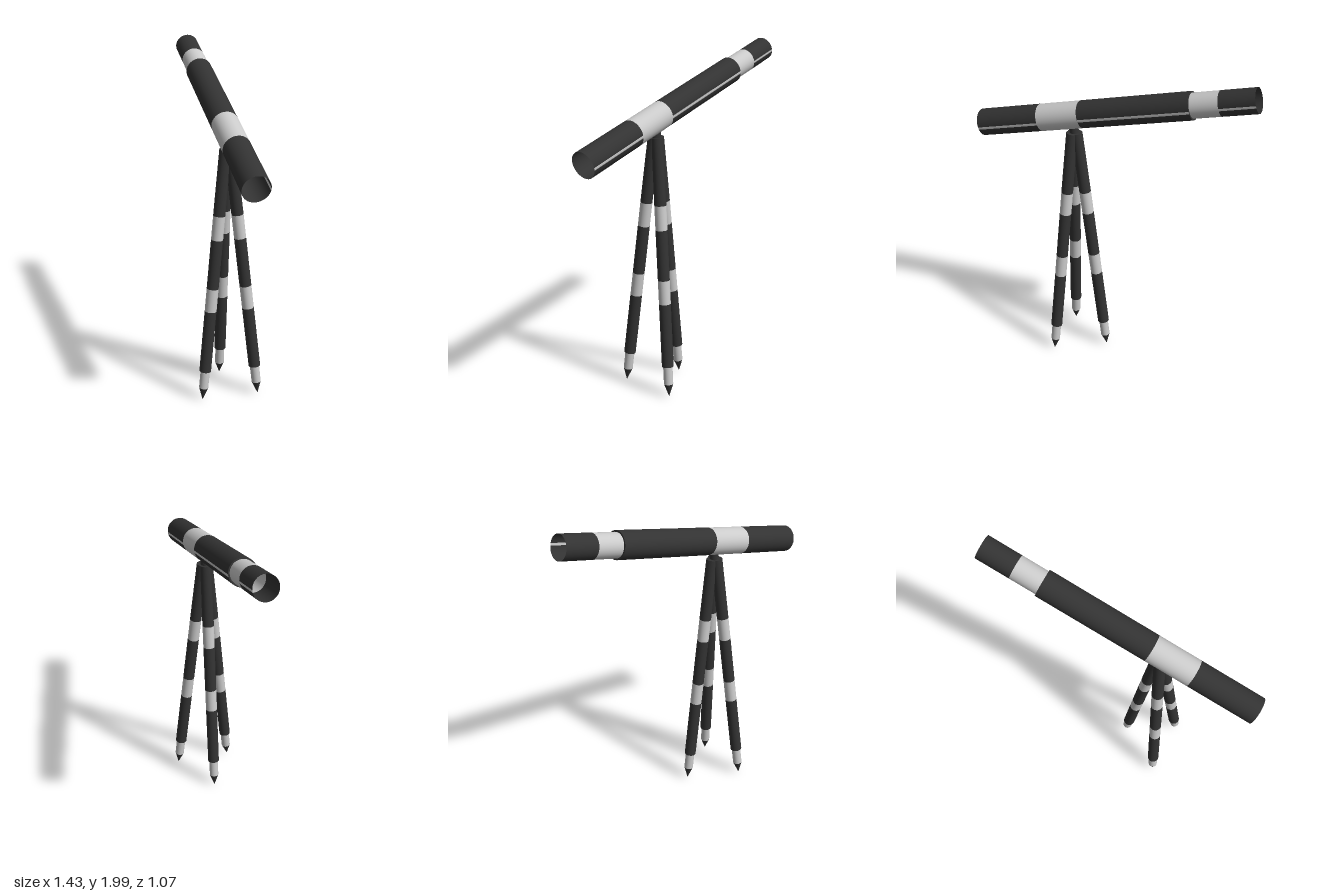
import * as THREE from 'three';

const dark = new THREE.MeshStandardMaterial({ color: 0x333333, side: THREE.DoubleSide });
const light = new THREE.MeshStandardMaterial({ color: 0xcccccc, side: THREE.DoubleSide });
const SEG = 32;
const STEP = (Math.PI * 2) / SEG;

function add(parent, name, geometry, material) {
  const mesh = new THREE.Mesh(geometry, material);
  mesh.name = name;
  parent.add(mesh);
  return mesh;
}

// Open cylinder wall between two heights, over part of the turn
function wall(y0, y1, r0, r1, segs = SEG, start = 0) {
  return new THREE.CylinderGeometry(r1, r0, y1 - y0, segs, 1, true, start, segs * STEP)
    .translate(0, (y0 + y1) / 2, 0);
}

// Flat ring or disc closing a step in diameter
function ring(y, inner, outer) {
  return new THREE.RingGeometry(inner, outer, SEG).rotateX(-Math.PI / 2).translate(0, y, 0);
}

// Telescope: hollow tube running along local +y from eyepiece to objective
function makeTelescope(from, to) {
  const group = new THREE.Group();
  group.name = 'telescope';
  const axis = to.clone().sub(from);
  const length = axis.length();
  axis.normalize();
  const side = new THREE.Vector3(axis.z, 0, -axis.x).normalize();
  group.quaternion.setFromRotationMatrix(
    new THREE.Matrix4().makeBasis(side, axis, side.clone().cross(axis)));
  group.position.copy(from);

  const narrow = 0.07, wide = 0.079;
  const sections = [
    ['eyepieceTube', 0, 0.12, narrow, dark],
    ['eyepieceBand', 0.12, 0.215, narrow, light],
    ['mainTube', 0.215, 0.61, wide, dark],
    ['mountBand', 0.61, 0.765, wide, light],
    ['objectiveTube', 0.765, 1, wide, dark],
  ];
  for (const [name, a, b, r, material] of sections) {
    // each section is a wall with a narrow light seam along one side
    add(group, name, wall(a * length, b * length, r, r, SEG - 1, Math.PI / 2), material);
    add(group, name + 'Seam', wall(a * length, b * length, r, r, 1, Math.PI / 2 - STEP), light);
  }
  add(group, 'tubeStep', ring(0.215 * length, narrow, wide), dark);
  return group;
}

// Tripod leg: banded pole with a slimmer foot section and pointed tip
function makeLeg(foot, top) {
  const leg = new THREE.Group();
  leg.name = 'tripodLeg';
  const axis = top.clone().sub(foot);
  const length = axis.length();
  leg.position.copy(foot);
  leg.quaternion.setFromUnitVectors(new THREE.Vector3(0, 1, 0), axis.normalize());

  const pole = 0.035, slim = 0.028;
  const sections = [
    ['footTip', 0, 0.08, 0, slim, dark],
    ['footSection', 0.08, 0.19, slim, slim, light],
    ['lowerPole', 0.19, 0.575, pole, pole, dark],
    ['lowerBand', 0.575, 0.717, pole, pole, light],
    ['middlePole', 0.717, 1.015, pole, pole, dark],
    ['upperBand', 1.015, 1.158, pole, pole, light],
    ['upperPole', 1.158, length, pole, pole * 0.95, dark],
  ];
  for (const [name, a, b, r0, r1, material] of sections) {
    add(leg, name, wall(a, b, r0, r1), material);
  }
  add(leg, 'poleStep', ring(0.19, slim, pole), dark);
  add(leg, 'poleCap', ring(length, 0, pole * 0.95), dark);
  return leg;
}

export function createModel() {
  const model = new THREE.Group();
  model.name = 'telescopeOnTripod';

  model.add(makeTelescope(
    new THREE.Vector3(-0.673, 1.932, -0.476),
    new THREE.Vector3(0.665, 1.494, 0.466)));

  // Three legs spread evenly around the pivot
  const px = 0.186, pz = 0.129;
  for (let i = 0; i < 3; i++) {
    const angle = THREE.MathUtils.degToRad(96 + i * 120);
    const at = (r, y) => new THREE.Vector3(px + r * Math.cos(angle), y, pz + r * Math.sin(angle));
    model.add(makeLeg(at(0.198, 0.005), at(0.016, 1.54)));
  }

  // Short post joining the tripod to the tube
  add(model, 'mountPost',
    new THREE.CylinderGeometry(0.026, 0.026, 0.1, SEG).translate(px, 1.54, pz), dark);

  return model;
}
